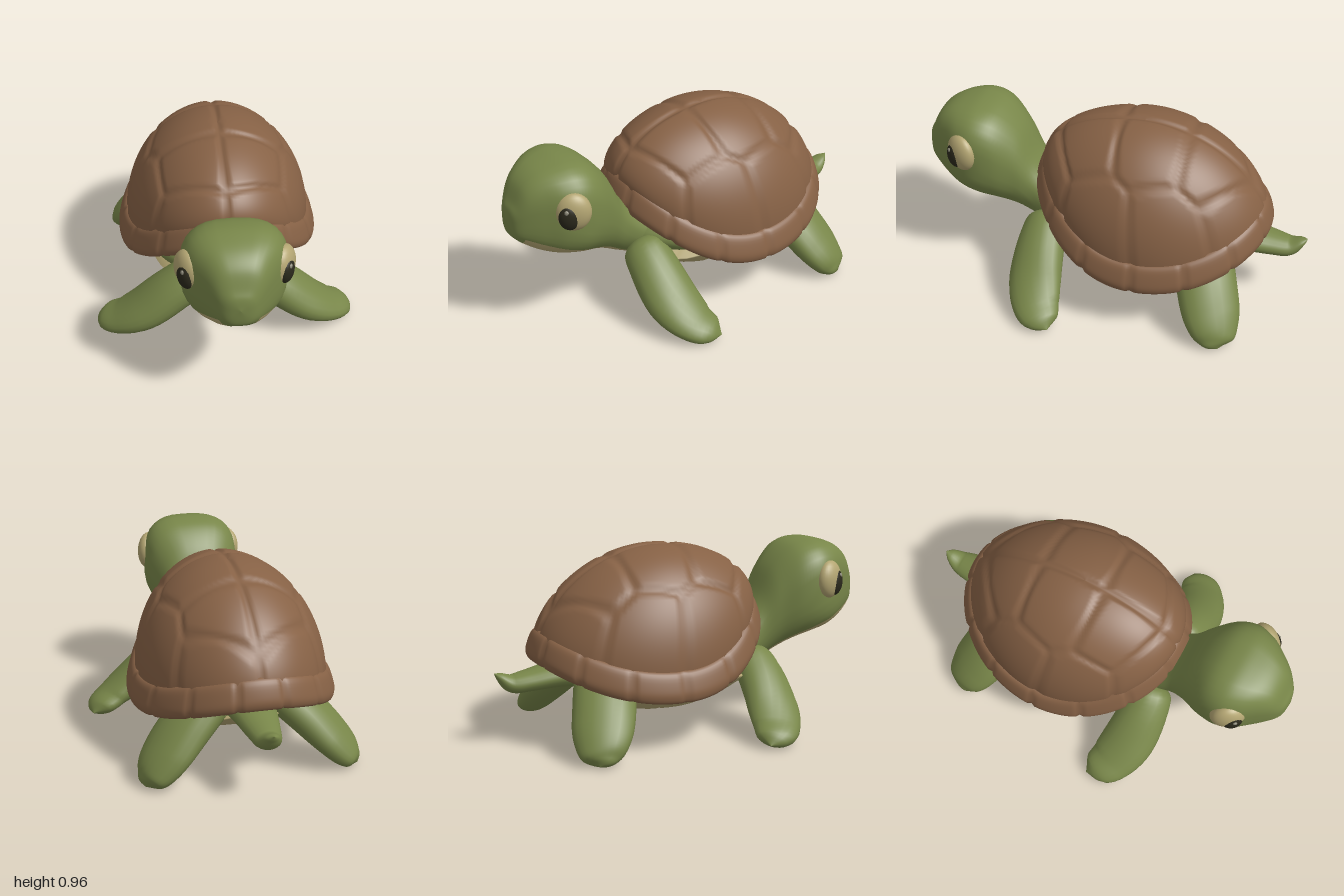
import * as THREE from 'three';

const paint = (name, color) => {
  const m = new THREE.MeshStandardMaterial({ color });
  m.name = name;
  return m;
};
const V = (x, y, z) => new THREE.Vector3(x, y, z);
const spow = (v, p) => Math.sign(v) * Math.abs(v) ** p;
const smooth = THREE.MathUtils.smoothstep;
const lerp = THREE.MathUtils.lerp;

// Smooth surface from f(u, a): u runs 0..1 along it, a runs once around.
// Faces that pass isSecond(u, column) go to the second material.
function surface(name, mats, rows, cols, f, isSecond = () => false) {
  const pos = [], lists = [[], []];
  for (let i = 0; i <= rows; i++)
    for (let j = 0; j < cols; j++) pos.push(...f(i / rows, (j / cols) * Math.PI * 2 - Math.PI / 2).toArray());
  const geo = new THREE.BufferGeometry();
  geo.setAttribute('position', new THREE.Float32BufferAttribute(pos, 3));
  for (let i = 0; i < rows; i++)
    for (let j = 0; j < cols; j++) {
      const k = (j + 1) % cols, a = i * cols + j, b = i * cols + k;
      lists[isSecond((i + 0.5) / rows, j) ? 1 : 0].push(a, b, a + cols, b, b + cols, a + cols);
    }
  // Turn the faces outward if the signed volume is negative
  geo.computeBoundingBox();
  const c = geo.boundingBox.getCenter(V(0, 0, 0));
  const at = (i) => V(0, 0, 0).fromArray(pos, i * 3).sub(c);
  let volume = 0;
  for (const l of lists)
    for (let i = 0; i < l.length; i += 3) volume += at(l[i]).dot(at(l[i + 1]).cross(at(l[i + 2])));
  if (volume < 0) lists.forEach((l) => l.reverse());
  geo.setIndex([...lists[0], ...lists[1]]);
  geo.addGroup(0, lists[0].length, 0);
  geo.addGroup(lists[0].length, lists[1].length, 1);
  geo.computeVertexNormals();
  const mesh = new THREE.Mesh(geo, mats);
  mesh.name = name;
  return mesh;
}

const spline = (pts) => new THREE.CatmullRomCurve3(pts, false, 'catmullrom', 0.5);

// Limb along stations [x, y, z, half width, half thickness]; roll dips the leading edge
function limb(name, mat, stations, side = 1, roll = 0) {
  const path = spline(stations.map((s) => V(s[0] * side, s[1], s[2])));
  const size = spline(stations.map((s) => V(s[3], s[4], 0)));
  return surface(name, [mat, mat], 30, 20, (u, a) => {
    const p = path.getPoint(u), r = size.getPoint(u), t = path.getTangent(u);
    const wide = V(-t.z, 0, t.x).normalize().applyAxisAngle(t, roll * side);
    const thick = wide.clone().cross(t).normalize();
    return p.addScaledVector(wide, Math.max(0, r.x) * Math.cos(a))
      .addScaledVector(thick, Math.max(0, r.y) * Math.sin(a));
  });
}

export function createModel() {
  const green = paint('skin green', 0x788649);
  const brown = paint('shell brown', 0x866145);
  const cream = paint('belly cream', 0xb3a572);
  const dark = paint('eye dark', 0x2b291c);
  const glint = paint('eye glint', 0x8b8878);
  const turtle = new THREE.Group();
  turtle.name = 'turtle';

  // Lower edge of the shell: low at the sides, raised at front and back
  const edgeY = (c) => 0.27 + (c > 0 ? 0.285 : 0.15) * Math.abs(c) ** 2.2;

  // Scute centres on the flattened dome
  const scutes = [];
  for (const s of [-1, 1]) {
    for (const z of [0.5, -0.12, -0.72]) scutes.push([s * 0.34, z]);
    for (const d of [64, 22, -20, -62]) {
      const t = THREE.MathUtils.degToRad(d);
      scutes.push([s * 1.22 * Math.cos(t), 1.22 * Math.sin(t)]);
    }
  }
  const hub = V(0, 0.42, -0.2);
  turtle.add(surface('shellDome', [brown, brown], 44, 144, (u, a) => {
    const phi = u * Math.PI / 2, c = Math.sin(a), k = Math.cos(phi), r = Math.sin(phi);
    const p = V(0.475 * r * Math.cos(a),
      lerp(edgeY(c) + 0.12, 0.965, k ** (1 + 0.2 * c * c)),
      -0.2 + 0.575 * r * c + 0.06 * k);
    const d = scutes.map(([x, z]) => Math.hypot(phi * Math.cos(a) - x, phi * c - z)).sort((m, n) => m - n);
    const groove = 1 - smooth(d[1] - d[0], 0, 0.12);
    return p.sub(hub).multiplyScalar(1 - 0.022 * groove).add(hub);
  }));

  // Rim with marginal scutes, closed underneath: [radius, height above edge]
  const rim = [[0.84, 0.14], [0.9, 0.15], [0.95, 0.13], [0.99, 0.07], [1, 0.03], [0.975, 0], [0.9, 0.005], [0.8, 0.04], [0.4, 0.1], [0, 0.1]];
  const rimCurve = spline(rim.map(([r, y]) => V(r, y, 0)));
  turtle.add(surface('shellRim', [brown, brown], 36, 168, (u, a) => {
    const q = rimCurve.getPoint(u), c = Math.sin(a);
    const notch = 1 - smooth(Math.abs(Math.sin(a * 7)), 0, 0.3);
    const r = Math.max(0, q.x) * (1 - 0.022 * notch * smooth(q.x, 0.85, 0.97));
    const under = u > 0.6 ? 1 - smooth(q.x, 0, 0.8) : 0;
    return V(0.52 * r * Math.cos(a), lerp(edgeY(c) + q.y, 0.44, under), -0.2 + 0.613 * r * c);
  }));

  // Belly plate with shallow seams, closed by a lid hidden in the body
  const bellyY = (x, z) => 0.14 + 0.2 * (Math.abs(x) ** 4 + Math.abs(z) ** (z > 0 ? 1.8 : 2.6));
  turtle.add(surface('bellyPlate', [cream, cream], 45, 96, (u, a) => {
    const r = u <= 0.8 ? u / 0.8 : (1 - u) / 0.2, c = Math.cos(a), s = Math.sin(a);
    const x = 0.385 * r * c, z = 0.53 * r * s;
    if (u > 0.8) return V(x, lerp(0.42, bellyY(c, s), r ** 3), z - 0.12);
    let gap = Math.abs(x);
    for (const line of [-0.32, -0.12, 0.08, 0.28]) gap = Math.min(gap, Math.abs(z - line - 0.15 * Math.abs(x)));
    return V(x, bellyY(r * c, r * s) + 0.006 * (1 - smooth(gap, 0, 0.025)), z - 0.12);
  }));

  // Soft body between the shell and the belly plate
  const body = new THREE.Mesh(new THREE.SphereGeometry(1, 40, 24), green);
  body.name = 'body';
  body.scale.set(0.42, 0.15, 0.54);
  body.position.set(0, 0.395, -0.16);
  turtle.add(body);

  // Head and neck: slices of z, top, bottom, half width
  const slices = [
    [0.22, 0.48, 0.25, 0.17], [0.33, 0.54, 0.265, 0.165], [0.42, 0.645, 0.3, 0.16], [0.5, 0.8, 0.345, 0.19],
    [0.6, 0.9, 0.4, 0.24], [0.7, 0.93, 0.437, 0.255], [0.79, 0.922, 0.458, 0.23], [0.87, 0.895, 0.487, 0.175],
    [0.93, 0.845, 0.525, 0.128], [0.97, 0.765, 0.56, 0.088], [0.99, 0.725, 0.59, 0.052], [1, 0.67, 0.67, 0],
  ];
  const along = spline(slices.map((s) => V(s[0], 0, 0)));
  const shape = spline(slices.map((s) => V(s[3], s[1], s[2])));
  const lip = 8.5 / 11;
  turtle.add(surface('headAndNeck', [green, cream], 66, 32, (u, a) => {
    const q = shape.getPoint(u), z = along.getPoint(u).x;
    // Slide the columns so the jaw line widens towards the snout
    const jaw = lerp(0.72, 1, smooth(z, 0.55, 0.9)), below = a + Math.PI / 2;
    const turn = below > Math.PI ? below - 2 * Math.PI : below, seam = Math.PI / 4;
    const away = Math.abs(turn) <= seam ? Math.abs(turn) * jaw / seam
      : jaw + (Math.abs(turn) - seam) * (Math.PI - jaw) / (Math.PI - seam);
    const b = Math.sign(turn) * away - Math.PI / 2, s = Math.sin(b);
    const e = lerp(0.8, 0.67, smooth(z, 0.45, 0.7));
    const taper = 1 - lerp(0.16, 0, smooth(z, 0.5, 0.75)) * Math.max(0, -s);
    return V(Math.max(0, q.x) * taper * spow(Math.cos(b), e),
      (q.y + q.z) / 2 + (q.y - q.z) * 0.5 * spow(s, e), z);
  }, (u, j) => u < lip && (j < 4 || j >= 28)));

  // Eyes
  for (const s of [-1, 1]) {
    const eye = new THREE.Group();
    eye.name = s > 0 ? 'leftEye' : 'rightEye';
    eye.position.set(s * 0.22, 0.738, 0.757);
    eye.rotation.y = s * Math.PI / 3;
    const ball = (name, mat, x, y, z, rx, ry, rz) => {
      const m = new THREE.Mesh(new THREE.SphereGeometry(1, 28, 18), mat);
      m.name = name;
      m.position.set(-s * x, y, z);
      m.scale.set(rx, ry, rz);
      eye.add(m);
    };
    ball('eyeball', cream, 0, 0, 0, 0.088, 0.1, 0.054);
    ball('pupil', dark, 0.018, -0.012, 0.023, 0.054, 0.072, 0.038);
    ball('glint', glint, 0.03, 0.022, 0.05, 0.012, 0.013, 0.009);
    turtle.add(eye);
  }

  // Flippers
  const front = [
    [0.12, 0.37, 0.32, 0, 0], [0.16, 0.35, 0.325, 0.1, 0.09], [0.26, 0.285, 0.335, 0.125, 0.1],
    [0.41, 0.165, 0.325, 0.138, 0.087], [0.53, 0.092, 0.285, 0.122, 0.062], [0.605, 0.055, 0.228, 0.085, 0.045],
    [0.645, 0.037, 0.192, 0, 0],
  ];
  const rear = [
    [0.18, 0.38, -0.49, 0.15, 0.1], [0.32, 0.25, -0.55, 0.155, 0.097], [0.42, 0.145, -0.6, 0.148, 0.083],
    [0.485, 0.07, -0.635, 0.115, 0.065], [0.518, 0.037, -0.65, 0.07, 0.038], [0.533, 0.022, -0.66, 0, 0],
  ];
  for (const s of [-1, 1]) {
    const label = s > 0 ? 'left' : 'right';
    turtle.add(limb(label + 'FrontFlipper', green, front, s, 0.22), limb(label + 'RearFlipper', green, rear, s));
  }

  // Tail
  turtle.add(limb('tail', green, [
    [0, 0.35, -0.5, 0.14, 0.08], [0, 0.345, -0.68, 0.11, 0.065], [0, 0.328, -0.82, 0.085, 0.054],
    [0, 0.322, -0.91, 0.065, 0.046], [0, 0.36, -0.97, 0.035, 0.022], [0, 0.382, -1, 0, 0],
  ]));
  return turtle;
}
